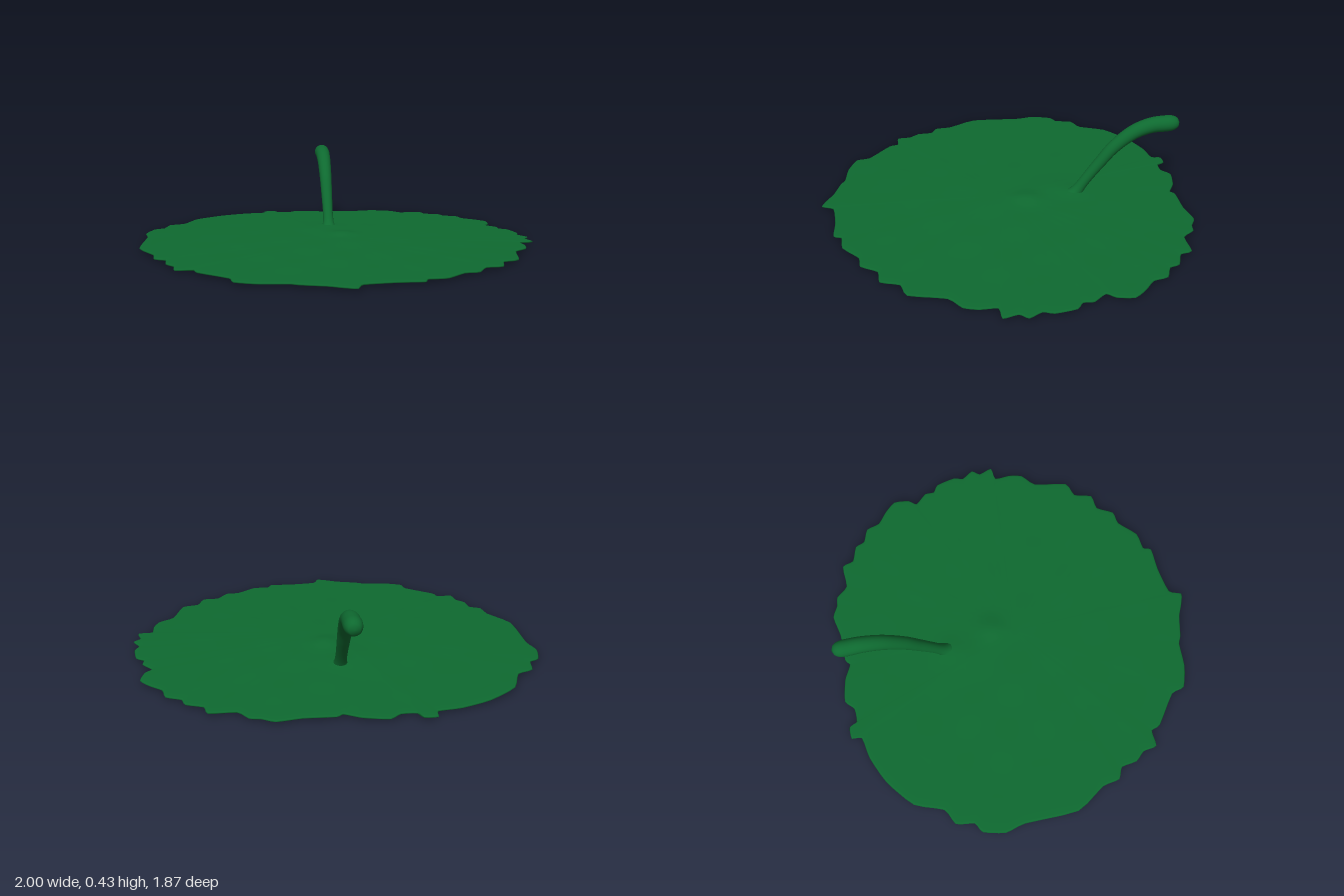
import * as THREE from 'three';

// Ragged rim of the leaf as x, z pairs, running from the back notch round by the left side
const RIM = [
  -0.01, -0.9, 0.03, -0.88, 0.06, -0.9, 0.2, -0.9, 0.31, -0.92, 0.37, -0.89, 0.42, -0.88, 0.47, -0.82,
  0.59, -0.82, 0.61, -0.76, 0.69, -0.73, 0.71, -0.68, 0.78, -0.65, 0.8, -0.58, 0.86, -0.53, 0.91, -0.47,
  0.9, -0.39, 0.87, -0.35, 0.92, -0.29, 0.92, -0.24, 0.96, -0.21, 0.98, -0.11, 0.965, -0.06, 1, 0,
  0.97, 0.04, 0.99, 0.11, 0.92, 0.12, 0.92, 0.2, 0.9, 0.27, 0.83, 0.33, 0.79, 0.5, 0.71, 0.53,
  0.68, 0.62, 0.6, 0.63, 0.55, 0.71, 0.48, 0.72, 0.39, 0.8, 0.3, 0.81, 0.28, 0.85, 0.16, 0.85,
  0.02, 0.87, -0.01, 0.93, -0.07, 0.91, -0.13, 0.88, -0.24, 0.85, -0.28, 0.83, -0.4, 0.82, -0.51, 0.78,
  -0.53, 0.71, -0.67, 0.6, -0.69, 0.55, -0.77, 0.55, -0.78, 0.48, -0.82, 0.43, -0.83, 0.35, -0.885, 0.32,
  -0.9, 0.23, -0.985, 0.08, -0.98, -0.19, -1, -0.29, -0.97, -0.4, -0.92, -0.43, -0.9, -0.52, -0.82, -0.56,
  -0.76, -0.7, -0.62, -0.81, -0.48, -0.87, -0.37, -0.89, -0.36, -0.94, -0.3, -0.94, -0.28, -0.9,
  -0.21, -0.9, -0.16, -0.94, -0.05, -0.92,
];

const bump = (x, z, cx, cz, r) => Math.exp(-((x - cx) ** 2 + (z - cz) ** 2) / (r * r));

// Upper surface: a very low dome with soft ripples and swellings by the stalk
function topHeight(x, z, s) {
  const ripple = Math.sin(17 * x + 5 * z) * Math.sin(15 * z - 6 * x + 1);
  return 0.029 - 0.011 * s + 0.001 * ripple * (1 - s ** 4)
    + 0.014 * bump(x, z, 0.04, -0.12, 0.07)
    + 0.006 * bump(x, z, -0.08, -0.28, 0.1)
    + 0.008 * bump(x, z, -0.01, -0.37, 0.07);
}

function leafGeometry() {
  const corners = [];
  for (let i = 0; i < RIM.length; i += 2) corners.push(new THREE.Vector3(RIM[i], 0, RIM[i + 1]));
  const rim = new THREE.CatmullRomCurve3(corners, true, 'catmullrom', 0.3);
  const n = corners.length * 3;

  // Cross-section from the top centre, round the rim, to the bottom centre
  const section = [];
  const rings = 26;
  for (let i = 0; i <= rings; i++) section.push([0.985 * i / rings, null]);
  section.push([0.996, 0.017], [1, 0.014], [0.996, 0.01], [0.98, 0.007], [0.8, 0.003], [0.4, 0], [0, 0]);

  const positions = [];
  const index = [];
  const p = new THREE.Vector3();
  section.forEach(([s, y], r) => {
    for (let i = 0; i < n; i++) {
      rim.getPoint(i / n, p).multiplyScalar(s);
      positions.push(p.x, y ?? topHeight(p.x, p.z, s), p.z);
      if (r === section.length - 1) continue;
      const a = r * n + i;
      const b = r * n + (i + 1) % n;
      if (r > 0) index.push(a, b, a + n);
      if (r < section.length - 2) index.push(b, b + n, a + n);
    }
  });
  const geometry = new THREE.BufferGeometry();
  geometry.setAttribute('position', new THREE.Float32BufferAttribute(positions, 3));
  geometry.setIndex(index);
  geometry.computeVertexNormals();
  // Both centres are poles shared by all the triangles around them
  const normal = geometry.attributes.normal;
  for (let i = 0; i < n; i++) {
    normal.setXYZ(i, 0, 1, 0);
    normal.setXYZ((section.length - 1) * n + i, 0, -1, 0);
  }
  return geometry;
}

// Stalk: a bent tube that flares at the foot, thickens upward and has a rounded tip
function stalkGeometry() {
  const path = new THREE.CatmullRomCurve3([
    [-0.375, 0.01], [-0.44, 0.105], [-0.5, 0.185], [-0.57, 0.272], [-0.67, 0.352],
    [-0.76, 0.386], [-0.83, 0.392], [-0.905, 0.396],
  ].map(([z, y]) => new THREE.Vector3(-0.012, y, z)));
  const segments = 64;
  const sides = 20;
  const geometry = new THREE.TubeGeometry(path, segments, 1, sides, false);
  const position = geometry.attributes.position;
  const v = new THREE.Vector3();
  for (let i = 0; i <= segments; i++) {
    const t = i / segments;
    const centre = path.getPointAt(t);
    const tip = Math.max(0, (t - 0.9) / 0.1);
    const radius = (0.024 + 0.018 * Math.min(1, t * 1.15) + 0.018 * Math.exp(-t * 22))
      * Math.sqrt(Math.max(0, 1 - tip ** 2.5));
    for (let j = 0; j <= sides; j++) {
      const k = i * (sides + 1) + j;
      v.fromBufferAttribute(position, k).sub(centre).multiplyScalar(radius).add(centre);
      position.setXYZ(k, v.x, Math.max(v.y, 0.005), v.z);
    }
  }
  geometry.computeVertexNormals();
  // Match the normals along the tube's seam, and point the tip outward
  const normal = geometry.attributes.normal;
  const w = new THREE.Vector3();
  for (let i = 0; i <= segments; i++) {
    const a = i * (sides + 1);
    const b = a + sides;
    v.fromBufferAttribute(normal, a).add(w.fromBufferAttribute(normal, b)).normalize();
    normal.setXYZ(a, v.x, v.y, v.z);
    normal.setXYZ(b, v.x, v.y, v.z);
  }
  for (let j = 0; j <= sides; j++) normal.setXYZ(segments * (sides + 1) + j, 0, 0, -1);
  return geometry;
}

export function createModel() {
  const green = new THREE.MeshStandardMaterial({ color: 0x0e6a30 });
  const model = new THREE.Group();
  model.name = 'lilyPad';
  const add = (name, geometry) => {
    const mesh = new THREE.Mesh(geometry, green);
    mesh.name = name;
    model.add(mesh);
  };
  add('leaf', leafGeometry());
  add('stalk', stalkGeometry());
  return model;
}
